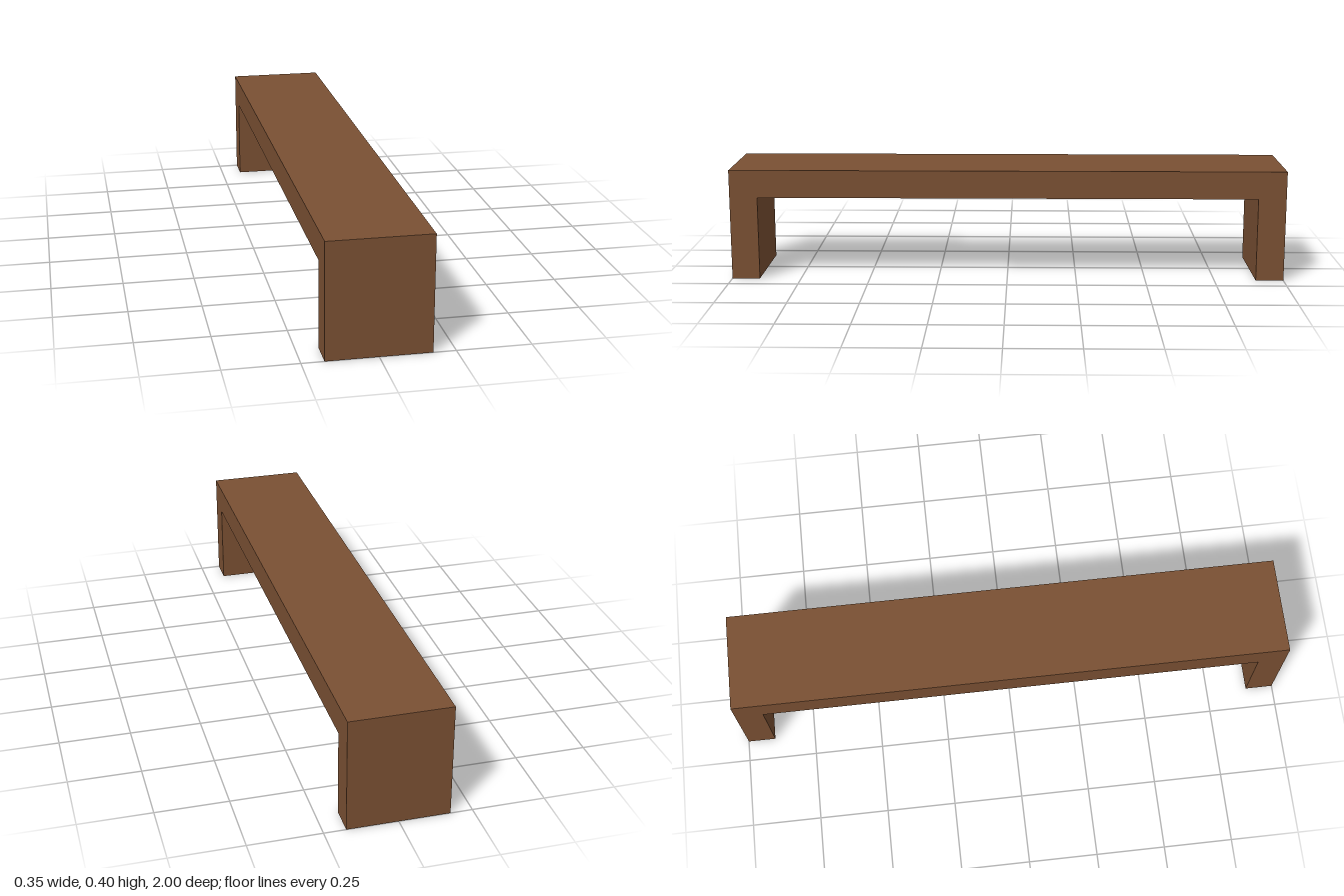
import * as THREE from 'three';

const LENGTH = 2, WIDTH = 0.35, HEIGHT = 0.4, BOARD = 0.1;

export function createModel() {
  const group = new THREE.Group();
  group.name = 'bench';

  const brownWood = new THREE.MeshStandardMaterial({ color: 0x7a5033 });
  brownWood.name = 'brown wood';

  // Side profile: a flat seat with a full-width leg at each end
  const end = LENGTH / 2, inner = end - BOARD, under = HEIGHT - BOARD;
  const profile = new THREE.Shape([
    [-end, 0], [-inner, 0], [-inner, under], [inner, under],
    [inner, 0], [end, 0], [end, HEIGHT], [-end, HEIGHT],
  ].map(([z, y]) => new THREE.Vector2(z, y)));

  // Extrude across the width, then turn the length onto the z axis
  const geometry = new THREE.ExtrudeGeometry(profile, { depth: WIDTH, bevelEnabled: false });
  geometry.translate(0, 0, -WIDTH / 2);
  geometry.rotateY(-Math.PI / 2);

  const seatAndLegs = new THREE.Mesh(geometry, brownWood);
  seatAndLegs.name = 'seatAndLegs';
  group.add(seatAndLegs);
  return group;
}
